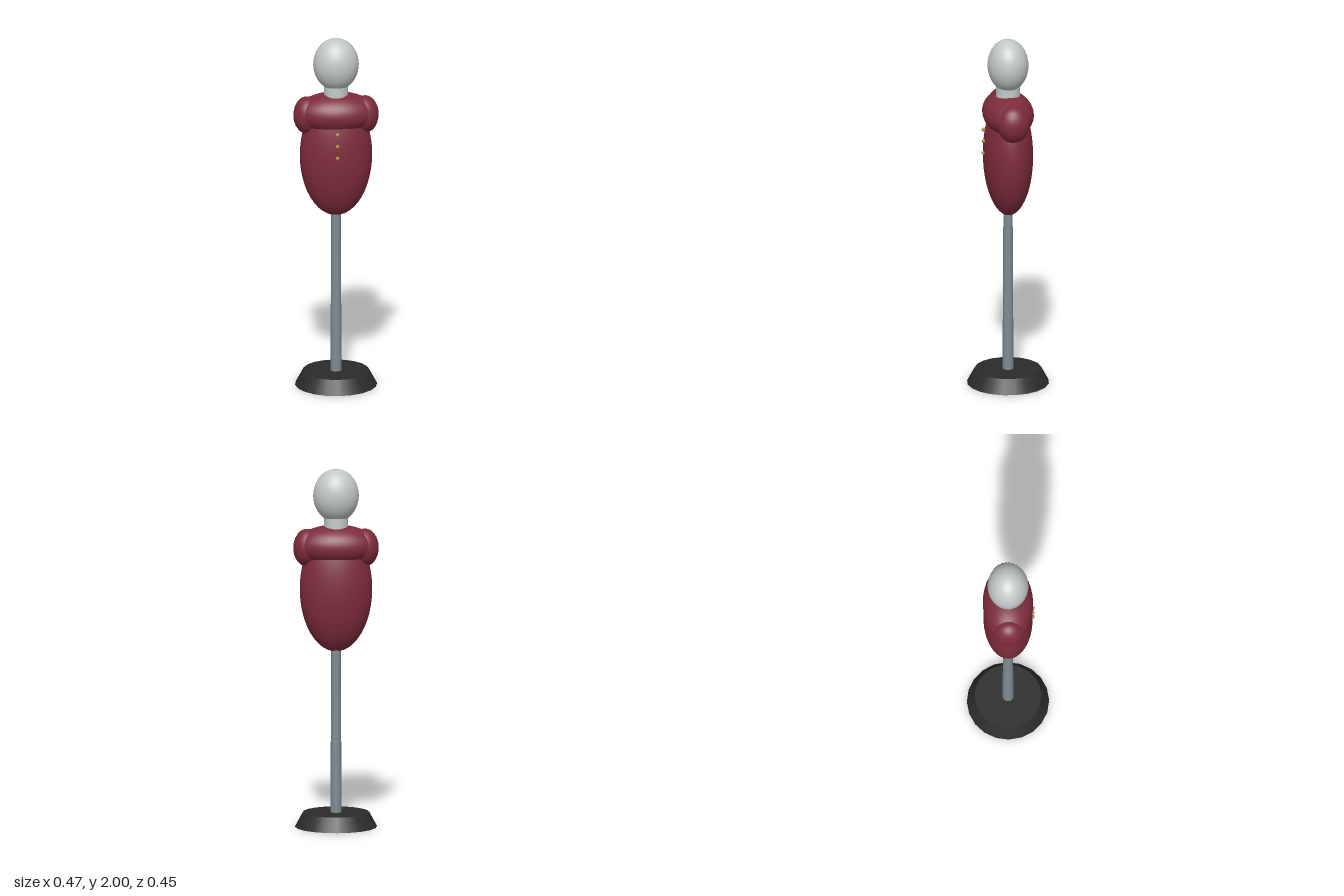
import * as THREE from 'three';

export function createModel() {
  const group = new THREE.Group();
  const mat = (name, color) => {
    const m = new THREE.MeshStandardMaterial({ color });
    m.name = name;
    return m;
  };
  const cloth = mat('burgundy cloth', 0x7d2b3b);
  const pale = mat('pale grey', 0xc3c7c7);
  const steel = mat('steel grey', 0x7f8c91);
  const black = mat('base black', 0x2b2b2b);
  const brass = mat('brass', 0xb08a3c);

  const add = (name, geometry, material, x, y, z) => {
    const mesh = new THREE.Mesh(geometry, material);
    mesh.name = name;
    mesh.position.set(x, y, z);
    group.add(mesh);
    return mesh;
  };
  const ellipsoid = (name, material, [x, y, z], [rx, ry, rz], w = 32, h = 24) => {
    const mesh = add(name, new THREE.SphereGeometry(1, w, h), material, x, y, z);
    mesh.scale.set(rx, ry, rz);
    return mesh;
  };

  // Stand: bevelled foot and slightly tapered pole
  add('base', new THREE.CylinderGeometry(0.184, 0.227, 0.08, 20), black, 0, 0.04, 0);
  add('pole', new THREE.CylinderGeometry(0.026, 0.031, 0.96, 16), steel, 0, 0.56, 0);

  // Padded body with a wide shoulder yoke
  ellipsoid('torso', cloth, [0, 1.33, 0], [0.2, 0.35, 0.136]);
  ellipsoid('shoulderYoke', cloth, [0, 1.573, 0], [0.225, 0.114, 0.139]);

  // Sleeve caps, mirrored
  for (const [side, name] of [[1, 'leftSleeveCap'], [-1, 'rightSleeveCap']]) {
    ellipsoid(name, cloth, [side * 0.16, 1.56, 0], [0.076, 0.105, 0.09], 20, 16);
  }

  // Neck and head
  add('neck', new THREE.CylinderGeometry(0.064, 0.068, 0.12, 24), pale, 0, 1.7, 0);
  ellipsoid('head', pale, [0, 1.852, 0], [0.126, 0.148, 0.113]);

  // Front buttons
  for (let i = 0; i < 3; i++) {
    add('button', new THREE.SphereGeometry(0.011, 10, 8), brass, 0, 1.484 - i * 0.068, 0.137);
  }

  return group;
}
